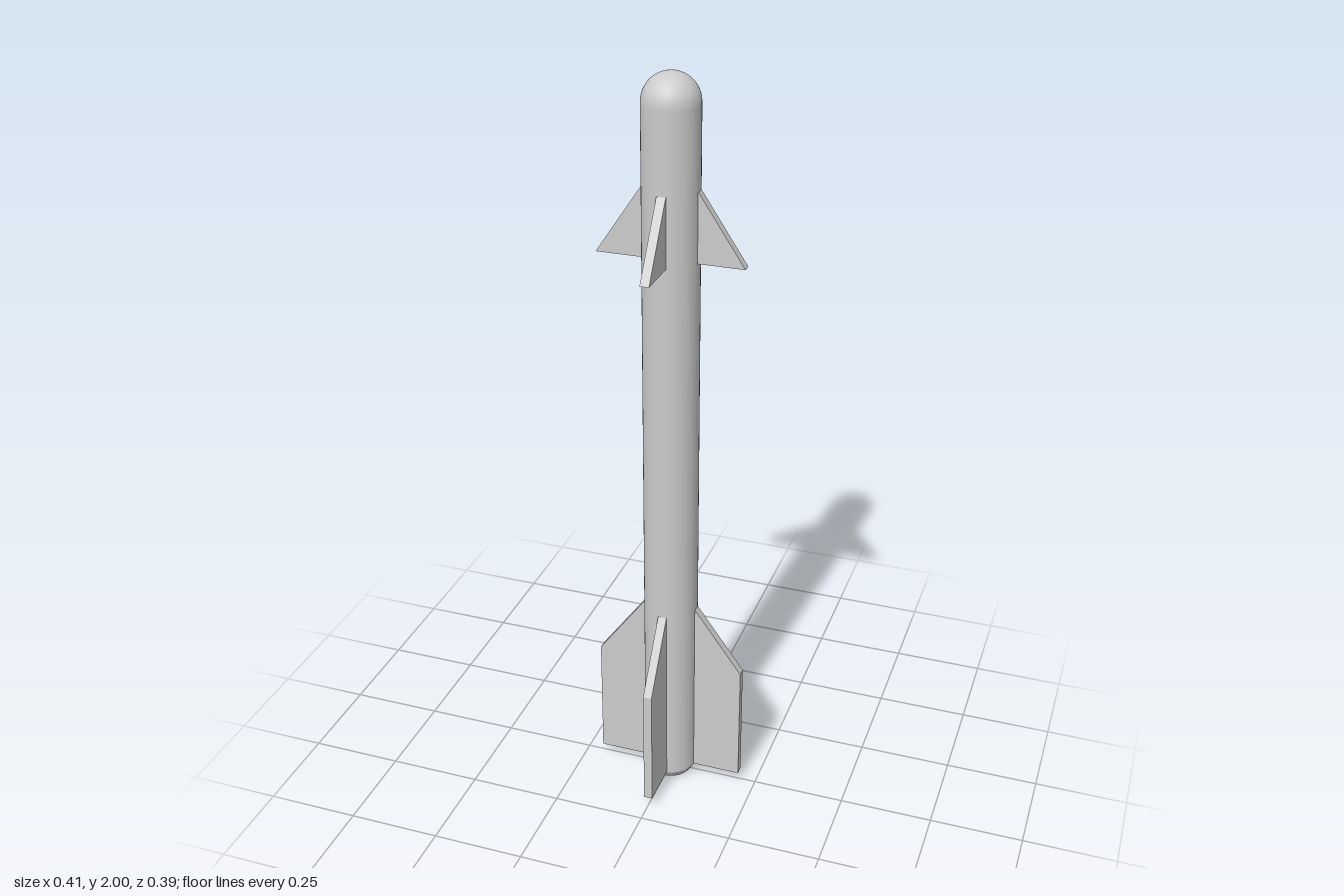
import * as THREE from 'three';

const R = 0.0725;      // body radius
const THICK = 0.0235;  // fin thickness

export function createModel() {
  const model = new THREE.Group();
  const material = new THREE.MeshStandardMaterial({ color: 0xcccccc });
  const v = (x, y) => new THREE.Vector2(x, y);

  const lathe = (name, points) => {
    const mesh = new THREE.Mesh(new THREE.LatheGeometry(points, 48), material);
    mesh.name = name;
    model.add(mesh);
  };

  // Long cylindrical body
  lathe('body', [v(R, 0.025), v(R, 2 - R)]);

  // Hemispherical nose
  const dome = [];
  for (let i = 0; i <= 12; i++) {
    const a = (i / 12) * Math.PI / 2;
    dome.push(v(R * Math.cos(a), 2 - R + R * Math.sin(a)));
  }
  lathe('nose', dome);

  // Tapered tail ring with a shallow concave exhaust
  lathe('tailTaper', [v(0.056, 0), v(R, 0.025)]);
  const bowl = [];
  for (let i = 0; i <= 8; i++) {
    const a = (i / 8) * Math.PI / 2;
    bowl.push(v(0.053 * Math.sin(a), 0.03 * Math.cos(a)));
  }
  lathe('exhaustBowl', bowl);
  lathe('tailRim', [v(0.053, 0), v(0.056, 0)]);

  // Four flat fins around the body; the side pair may be wider
  const finSet = (name, outline, sideTip, frontTip) => {
    for (let i = 0; i < 4; i++) {
      const tip = i % 2 ? frontTip : sideTip;
      const shape = new THREE.Shape(outline(tip).map(([x, y]) => v(x, y)));
      const geo = new THREE.ExtrudeGeometry(shape, { depth: THICK, bevelEnabled: false });
      geo.translate(0, 0, -THICK / 2);
      const fin = new THREE.Mesh(geo, material);
      fin.name = name + ['Left', 'Back', 'Right', 'Front'][i];
      fin.rotation.y = i * Math.PI / 2;
      model.add(fin);
    }
  };

  const root = R - 0.004; // fins are sunk slightly into the body
  finSet('foreFin', (t) => [[root, 1.54], [t, 1.54], [R, 1.72], [root, 1.72]], 0.192, 0.192);
  finSet('tailFin', (t) => [[root, 0.027], [t, 0.027], [t, 0.365], [R, 0.545], [root, 0.545]], 0.203, 0.194);

  return model;
}
